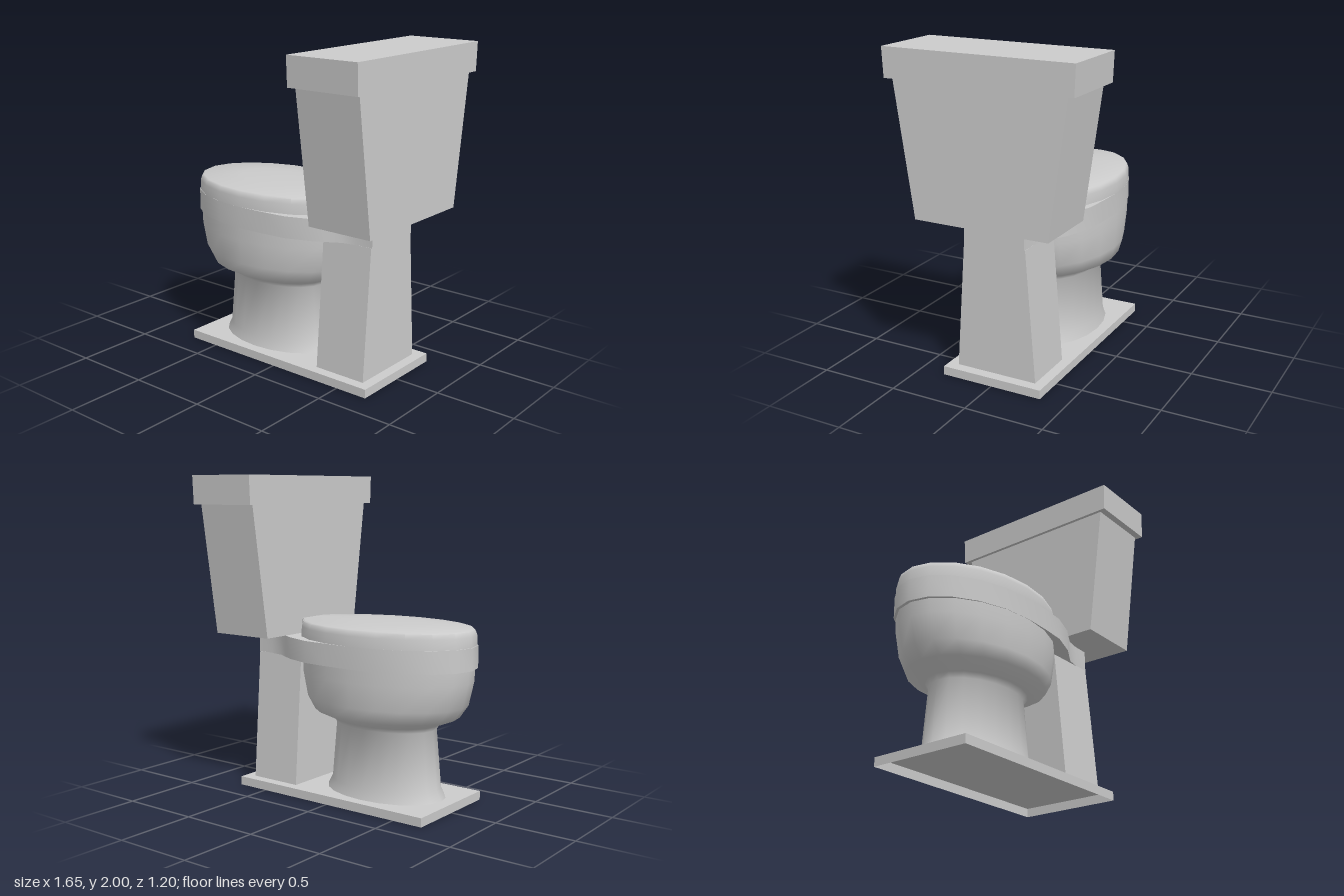
import * as THREE from 'three';
import { toCreasedNormals } from 'three/addons/utils/BufferGeometryUtils.js';

const material = new THREE.MeshStandardMaterial({ color: 0xcccccc, side: THREE.DoubleSide });
const CENTER_X = -0.215;
const SIDES = 20;

function part(name, geometry) {
  const mesh = new THREE.Mesh(geometry, material);
  mesh.name = name;
  return mesh;
}

// Box between x0..x1 and y0..y1 whose half depth changes from bottom to top
function taperedBox(x0, x1, y0, y1, zBottom, zTop) {
  const g = new THREE.BoxGeometry(x1 - x0, y1 - y0, 2);
  const p = g.attributes.position;
  for (let i = 0; i < p.count; i++) p.setZ(i, p.getZ(i) * (p.getY(i) > 0 ? zTop : zBottom));
  g.translate((x0 + x1) / 2, (y0 + y1) / 2, 0);
  g.computeVertexNormals();
  return g;
}

// Skin over elliptical rings [y, half width x, half depth z], listed bottom to top
function ellipseLoft(rings, crease, flatBackX = Infinity) {
  const pos = [], idx = [];
  rings.forEach(([y, rx, rz], r) => {
    for (let i = 0; i < SIDES; i++) {
      const a = (i / SIDES) * Math.PI * 2;
      let x = CENTER_X + rx * Math.cos(a);
      if (x > flatBackX - 0.05) x = flatBackX;
      pos.push(x, y, rz * Math.sin(a));
      if (r === rings.length - 1) continue;
      const j = (i + 1) % SIDES, lo = r * SIDES, hi = lo + SIDES;
      idx.push(lo + i, hi + i, lo + j, hi + i, hi + j, lo + j);
    }
  });
  const g = new THREE.BufferGeometry();
  g.setAttribute('position', new THREE.Float32BufferAttribute(pos, 3));
  g.setIndex(idx);
  return toCreasedNormals(g, crease);
}

// Rim: half ellipse at the front, narrowing to a straight neck at the back
function rimGeometry() {
  const half = [];
  for (let i = 0; i <= 5; i++) {
    const a = (i / SIDES) * Math.PI * 2;
    half.push([CENTER_X - 0.61 * Math.cos(a), 0.385 * Math.sin(a)]);
  }
  half.push([-0.03, 0.378], [0.128, 0.364], [0.3, 0.305], [0.37, 0.265], [0.45, 0.22], [0.54, 0.203], [0.65, 0.2]);
  const mirrored = half.slice(1).reverse().map(([x, z]) => [x, -z]);
  const shape = new THREE.Shape([...half, ...mirrored].map(([x, z]) => new THREE.Vector2(x, z)));
  const g = new THREE.ExtrudeGeometry(shape, { depth: 0.135, bevelEnabled: false });
  g.rotateX(-Math.PI / 2).translate(0, 0.873, 0);
  return toCreasedNormals(g, 0.6);
}

// Floor plate is hollow underneath: drop the bottom face of the box
function plateGeometry() {
  const g = taperedBox(-0.7, 0.71, 0, 0.055, 0.33, 0.33);
  const index = Array.from(g.index.array);
  index.splice(18, 6);
  g.setIndex(index);
  g.clearGroups();
  return g;
}

export function createModel() {
  const group = new THREE.Group();
  group.name = 'toilet';
  group.add(
    part('floorPlate', plateGeometry()),
    part('rearColumn', taperedBox(0.297, 0.645, 0.055, 0.875, 0.265, 0.203)),
    part('tank', taperedBox(0.37, 0.8, 1.008, 1.825, 0.433, 0.55)),
    part('tankLid', taperedBox(0.348, 0.822, 1.822, 2, 0.592, 0.6)),
    part('rim', rimGeometry()),
    // Flared foot, neck and bowl in one skin
    part('bowl', ellipseLoft([
      [0.055, 0.41, 0.265], [0.115, 0.378, 0.25], [0.48, 0.345, 0.228], [0.51, 0.365, 0.255],
      [0.56, 0.488, 0.355], [0.64, 0.548, 0.374], [0.79, 0.585, 0.384], [0.88, 0.59, 0.384],
    ], 1.2)),
    // Domed cover, cut straight in front of the tank
    part('seatCover', ellipseLoft([
      [1.005, 0.602, 0.385], [1.07, 0.6, 0.384], [1.1, 0.588, 0.376],
      [1.106, 0.575, 0.366], [1.122, 0.29, 0.185], [1.13, 0, 0],
    ], 0.8, 0.355)),
  );
  return group;
}
